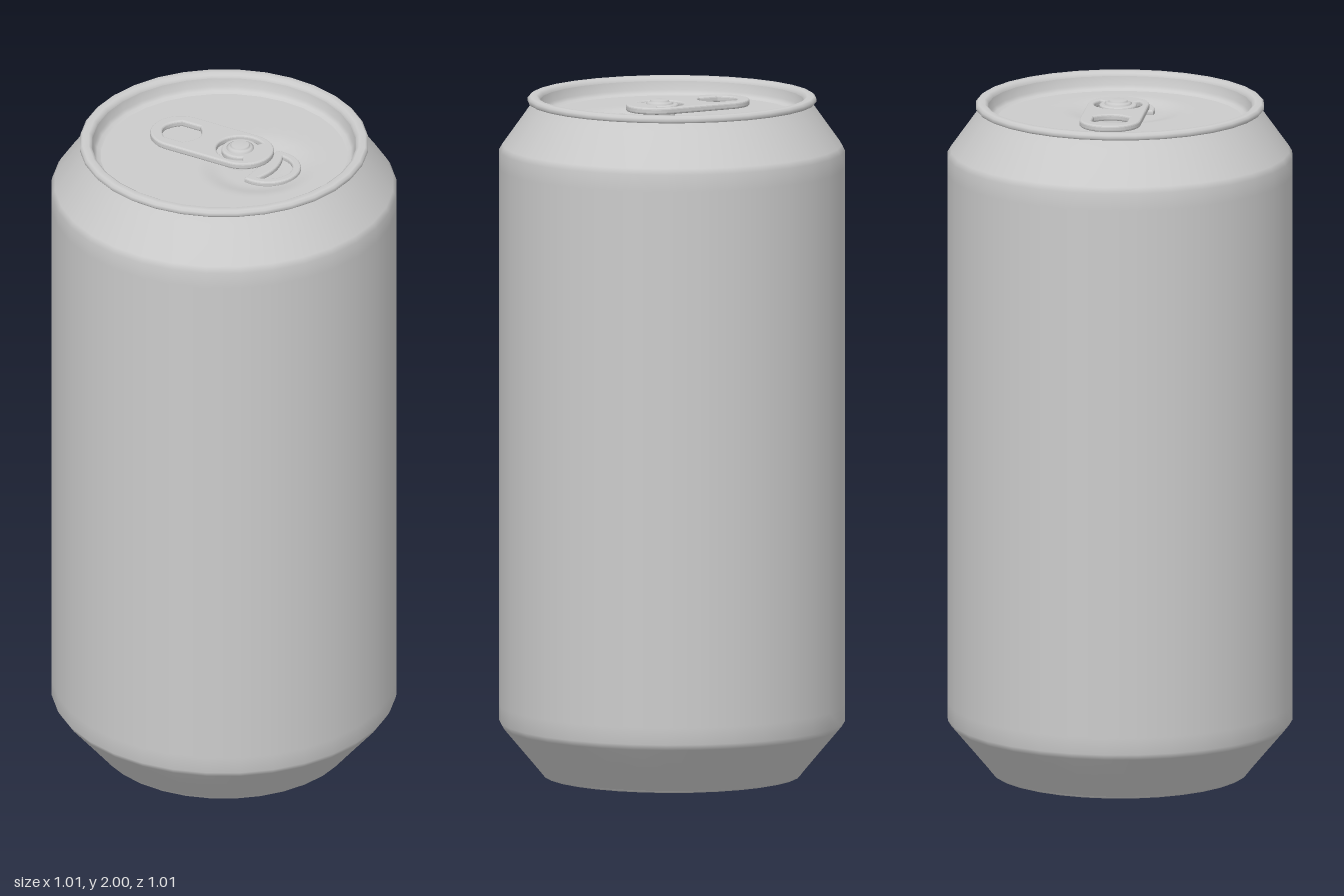
import * as THREE from 'three';
import { mergeVertices } from 'three/addons/utils/BufferGeometryUtils.js';

const SIDES = 32;
const material = new THREE.MeshStandardMaterial({ color: 0xcccccc, metalness: 0, roughness: 0.6 });

function part(name, geometry, parent) {
  const mesh = new THREE.Mesh(geometry, material);
  mesh.name = name;
  parent.add(mesh);
  return mesh;
}

function lathe(points) {
  return new THREE.LatheGeometry(points.map(([r, y]) => new THREE.Vector2(r, y)), SIDES);
}

// Flat outline laid on the lid: outline +y points to the back of the tab
function plate(shape, thickness, bevel) {
  const geometry = new THREE.ExtrudeGeometry(shape, {
    depth: thickness - 2 * bevel, bevelEnabled: true, bevelThickness: bevel,
    bevelSize: bevel, bevelOffset: -bevel, bevelSegments: 3, curveSegments: 20,
  });
  geometry.translate(0, 0, bevel);
  return geometry.rotateX(-Math.PI / 2);
}

// Panel with a shallow dish pressed around the mouth
function lidPanelGeometry() {
  const points = [];
  for (let i = 0; i <= 24; i++) points.push([0.36 * (1 - i / 24), 1.948]);
  const geometry = lathe(points);
  const p = geometry.attributes.position;
  for (let i = 0; i < p.count; i++) {
    const d = Math.hypot(p.getX(i) - 0.06, p.getZ(i) - 0.1);
    p.setY(i, p.getY(i) - 0.014 * (1 - THREE.MathUtils.smoothstep(d, 0.1, 0.18)));
  }
  geometry.deleteAttribute('normal');
  geometry.deleteAttribute('uv');
  const merged = mergeVertices(geometry);
  merged.computeVertexNormals();
  return merged;
}

// Long rounded tab with a finger hole and a C-shaped cut round the rivet
function tabShape() {
  const r = 0.09;
  const shape = new THREE.Shape();
  shape.absarc(0, 0.2, r, 0, Math.PI, false);
  shape.absarc(0, -0.01, r, Math.PI, 2 * Math.PI, false);
  shape.closePath();

  const finger = new THREE.Path();
  finger.moveTo(-0.052, 0.165);
  finger.quadraticCurveTo(0, 0.11, 0.052, 0.165);
  finger.lineTo(0.052, 0.225);
  finger.quadraticCurveTo(0, 0.285, -0.052, 0.225);
  finger.closePath();

  const cut = new THREE.Path();
  const a0 = -0.2 * Math.PI, a1 = 1.2 * Math.PI;
  cut.absarc(0, 0, 0.07, a0, a1, false);
  cut.absarc(0, 0, 0.055, a1, a0, true);
  cut.closePath();

  shape.holes.push(finger, cut);
  return shape;
}

// Half-moon bead round the mouth
function mouthShape() {
  const shape = new THREE.Shape();
  shape.absarc(0, 0, 0.097, 0.92 * Math.PI, 2.08 * Math.PI, false);
  shape.closePath();
  const hole = new THREE.Path();
  hole.absarc(0, 0, 0.072, 1.04 * Math.PI, 1.96 * Math.PI, false);
  hole.quadraticCurveTo(0, -0.04, -0.071, -0.009);
  shape.holes.push(hole);
  return shape;
}

export function createModel() {
  const can = new THREE.Group();
  can.name = 'drinkCan';

  // Wall with tapered shoulder and foot
  part('body', lathe([
    [0.38, 0.006], [0.425, 0.06], [0.495, 0.143], [0.505, 0.16], [0.505, 0.21],
    [0.505, 1.79], [0.505, 1.84], [0.495, 1.857], [0.425, 1.955], [0.408, 1.98],
  ]), can);

  // Foot ring and hollow base
  part('footRing', lathe([[0.362, 0.006], [0.366, 0], [0.376, 0], [0.38, 0.006]]), can);
  part('baseHollow', lathe([[0.16, 0.12], [0.362, 0.006]]), can);
  part('baseDisc', lathe([[0, 0.12], [0.16, 0.12]]), can);

  // Rolled rim and the wall dropping to the lid
  part('rim', lathe([
    [0.408, 1.98], [0.418, 1.98], [0.422, 1.985], [0.421, 1.994], [0.414, 2],
    [0.396, 2], [0.388, 1.995], [0.385, 1.987],
  ]), can);
  part('lidWall', lathe([[0.385, 1.987], [0.38, 1.962], [0.372, 1.952], [0.36, 1.948]]), can);
  part('lidPanel', lidPanelGeometry(), can);

  // Opener, turned about the rivet
  const opener = new THREE.Group();
  opener.name = 'opener';
  opener.position.set(0.035, 0, 0.035);
  opener.rotation.y = 0.56;
  can.add(opener);

  part('tab', plate(tabShape(), 0.02, 0.006), opener).position.y = 1.962;
  part('mouthBead', plate(mouthShape(), 0.018, 0.006), opener).position.set(0, 1.93, 0.093);
  part('rivet', lathe([
    [0.05, 1.93], [0.04, 1.97], [0.04, 1.984], [0.033, 1.987], [0.028, 1.987],
    [0.028, 1.991], [0.025, 1.994], [0, 1.994],
  ]), opener);

  return can;
}
